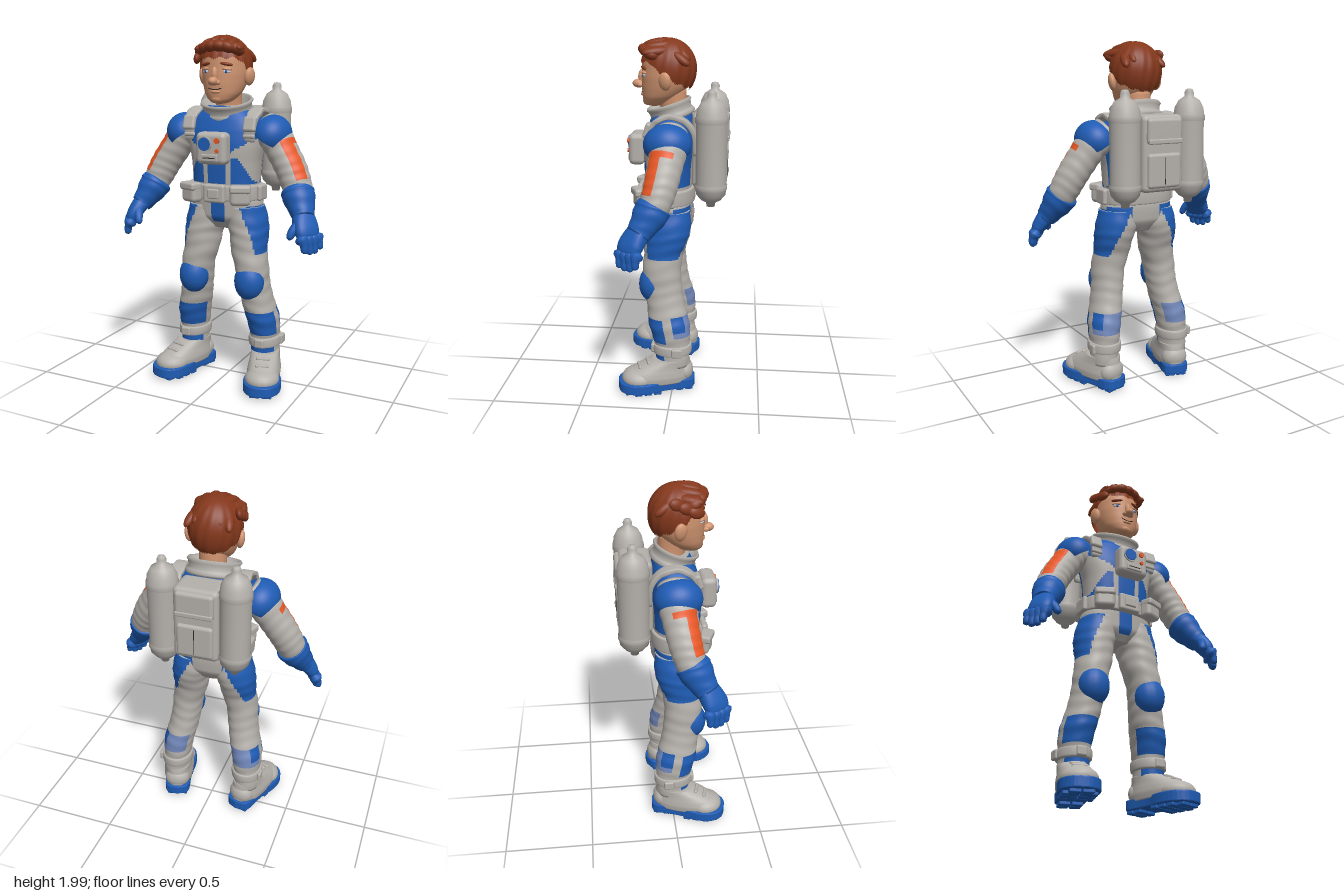
import * as THREE from 'three';
import { RoundedBoxGeometry } from 'three/addons/geometries/RoundedBoxGeometry.js';

const V = (a) => new THREE.Vector3(...a);
const mat = (name, color, side = THREE.FrontSide) => {
  const m = new THREE.MeshStandardMaterial({ color, side });
  m.name = name;
  return m;
};

// Smooth tube through sections [x, y, z, halfA, halfB]. Rings are level, or square to the path when side is given.
// pick(x, y, z, t, angle) chooses the material of each face.
function loft(name, mats, secs, { n = 32, rows = 24, p = 2, side, pick, wrinkle = 0, waves = 9 } = {}) {
  const path = new THREE.CatmullRomCurve3(secs.map((s) => new THREE.Vector3(s[0], s[1], s[2])));
  const size = new THREE.CatmullRomCurve3(secs.map((s) => new THREE.Vector3(s[3], s[4], 0)));
  const list = [].concat(mats), pos = [], faces = list.map(() => []);
  const pw = (v) => Math.sign(v) * Math.abs(v) ** (2 / p);
  for (let r = 0; r <= rows; r++) {
    const t = r / rows, c = path.getPoint(t), s = size.getPoint(t);
    const T = side ? path.getTangent(t) : V([0, 1, 0]);
    const A = side ? V(side).addScaledVector(T, -V(side).dot(T)).normalize() : V([1, 0, 0]);
    const B = A.clone().cross(T);
    for (let j = 0; j < n; j++) {
      const a = (j / n) * Math.PI * 2;
      const w = 1 + wrinkle * Math.sin(t * waves * 6.28 + 1.3 * Math.sin(a * 2));
      const v = c.clone().addScaledVector(A, s.x * w * pw(Math.cos(a))).addScaledVector(B, s.y * w * pw(Math.sin(a)));
      pos.push(v.x, v.y, v.z);
    }
  }
  for (let r = 0; r < rows; r++) for (let j = 0; j < n; j++) {
    const a = r * n + j, b = r * n + (j + 1) % n, c = a + n, d = b + n;
    const mid = [0, 1, 2].map((k) => (pos[a * 3 + k] + pos[d * 3 + k]) / 2);
    let ang = ((j + 0.5) / n) * Math.PI * 2;
    if (ang > Math.PI) ang -= Math.PI * 2;
    faces[pick ? pick(...mid, (r + 0.5) / rows, ang) : 0].push(a, c, b, b, c, d);
  }
  // end caps
  const end = pos.length / 3, p0 = path.getPoint(0), p1 = path.getPoint(1);
  pos.push(p0.x, p0.y, p0.z, p1.x, p1.y, p1.z);
  for (let j = 0; j < n; j++) {
    const k = (j + 1) % n;
    faces[0].push(end, j, k, end + 1, rows * n + k, rows * n + j);
  }
  const g = new THREE.BufferGeometry();
  g.setAttribute('position', new THREE.Float32BufferAttribute(pos, 3));
  g.setIndex(faces.flat());
  let start = 0;
  faces.forEach((f, i) => { g.addGroup(start, f.length, i); start += f.length; });
  g.computeVertexNormals();
  return named(name, new THREE.Mesh(g, list.length > 1 ? list : list[0]));
}
const named = (name, o) => { o.name = name; return o; };
function put(name, geo, m, at, rot = [0, 0, 0]) {
  const o = named(name, new THREE.Mesh(geo, m));
  o.position.set(...at);
  o.rotation.set(...rot);
  return o;
}
const blob = (name, m, at, r, rot) => put(name, new THREE.SphereGeometry(1, 20, 12).scale(...r), m, at, rot);
const box = (name, m, at, s, rot, r = 0.015) =>
  put(name, new RoundedBoxGeometry(...s, 2, Math.min(r, Math.min(...s) * 0.45)), m, at, rot);

// Copy of a group reflected in x, with face order put right
function mirrored(group, name) {
  const out = named(name, new THREE.Group());
  group.updateMatrixWorld(true);
  group.traverse((m) => {
    if (!m.isMesh) return;
    const g = m.geometry.clone().applyMatrix4(m.matrixWorld).scale(-1, 1, 1);
    const idx = g.index ? Array.from(g.index.array) : Array.from({ length: g.attributes.position.count }, (_, i) => i);
    for (let i = 0; i < idx.length; i += 3) [idx[i + 1], idx[i + 2]] = [idx[i + 2], idx[i + 1]];
    g.setIndex(idx);
    out.add(named(m.name, new THREE.Mesh(g, m.material)));
  });
  return out;
}

export function createModel() {
  const model = named('astronaut', new THREE.Group());
  const grey = mat('suitGrey', 0xb4b0ab), blue = mat('suitBlue', 0x1f5cb4, THREE.DoubleSide), orange = mat('stripeOrange', 0xee5a26);
  const skin = mat('skin', 0xd09470), hairMat = mat('hairBrown', 0x84381c, THREE.DoubleSide);
  const dark = mat('dark', 0x2e2a28), white = mat('eyeWhite', 0xd4d4d8), pale = mat('paleBlue', 0x7288ba);

  // torso with blue yoke, waist panels and hips
  model.add(loft('torso', [grey, blue], [
    [0, 0.92, 0.035, 0.09, 0.08], [0, 0.99, 0.035, 0.21, 0.125], [0, 1.06, 0.035, 0.215, 0.13], [0, 1.13, 0.04, 0.198, 0.13],
    [0, 1.2, 0.04, 0.198, 0.135], [0, 1.3, 0.04, 0.205, 0.14], [0, 1.4, 0.035, 0.225, 0.145], [0, 1.48, 0.03, 0.235, 0.135],
    [0, 1.54, 0.025, 0.2, 0.12], [0, 1.58, 0.02, 0.15, 0.105], [0, 1.61, 0.02, 0.11, 0.09],
  ], {
    n: 88, rows: 72, p: 2.4, pick: (x, y, z) => {
      const w = Math.abs(x);
      if (y < 1.1 && z > 0) return +((w < 0.038 && y > 0.96) || (w > 0.165 && y < 1.06));
      if (y < 1.08) return +(w > 0.085);
      if (z < 0) return +(y > 1.42 || (y > 1.19 && w > 0.1));
      if (y > 1.31 + w * 0.6) return 1;
      return +(y > 1.18 && y < 1.335 && (w < 0.052 || (w > 0.085 && w < 0.16 + (1.26 - y) * 0.5)));
    },
  }));

  // collar ring, tilted down at the front
  const collar = new THREE.LatheGeometry([[0.1, -0.035], [0.148, -0.038], [0.158, -0.026], [0.15, -0.01], [0.14, 0],
    [0.146, 0.03], [0.155, 0.04], [0.148, 0.052], [0.135, 0.048], [0.118, 0.01], [0.09, -0.02]].map((q) => new THREE.Vector2(...q)), 48);
  model.add(put('collar', collar.scale(1, 1, 0.84), grey, [0, 1.592, 0.03], [0.3, 0, 0]));

  // belt, buckle
  model.add(loft('belt', grey, [[0, 1.085, 0.04, 0.2, 0.135], [0, 1.09, 0.04, 0.215, 0.148], [0, 1.13, 0.04, 0.217, 0.15],
    [0, 1.17, 0.04, 0.215, 0.148], [0, 1.175, 0.04, 0.2, 0.135]], { n: 56, rows: 16, p: 2.4 }));
  model.add(box('buckle', grey, [0, 1.13, 0.2], [0.13, 0.105, 0.035]));
  model.add(box('buckleInset', grey, [0, 1.13, 0.217], [0.07, 0.055, 0.02], undefined, 0.008));

  // chest control box
  model.add(box('chestBox', grey, [0.003, 1.385, 0.218], [0.183, 0.178, 0.09], undefined, 0.03));
  const disc = (name, m, x, y, r, z = 0.265) => put(name, new THREE.CylinderGeometry(r, r, 0.016, 24), m, [x, y, z], [Math.PI / 2, 0, 0]);
  model.add(disc('dialRim', grey, -0.027, 1.41, 0.042, 0.263), disc('dial', blue, -0.027, 1.41, 0.036, 0.268));
  model.add(disc('upperButton', orange, 0.047, 1.43, 0.015), disc('lowerButton', orange, 0.047, 1.375, 0.011));
  model.add(box('chestSlotFrame', grey, [0, 1.335, 0.263], [0.1, 0.04, 0.014]), box('chestSlot', dark, [0, 1.335, 0.268], [0.075, 0.006, 0.008]));

  // backpack
  const pack = named('backpack', new THREE.Group());
  pack.add(box('packBody', grey, [0, 1.39, -0.185], [0.254, 0.42, 0.18], undefined, 0.03));
  pack.add(box('packFlap', grey, [0, 1.515, -0.272], [0.215, 0.14, 0.05], undefined, 0.02));
  pack.add(box('packHandle', grey, [0, 1.46, -0.294], [0.21, 0.028, 0.016]));
  pack.add(box('packPocket', grey, [0, 1.3, -0.272], [0.205, 0.19, 0.04], undefined, 0.02));
  pack.add(box('pocketSeam', dark, [0, 1.3, -0.291], [0.004, 0.15, 0.006]));
  model.add(pack);

  // everything on the left side, mirrored below
  const left = named('leftSide', new THREE.Group());

  // air tank
  const tank = [[0.001, 1.1], [0.022, 1.102], [0.026, 1.125], [0.055, 1.14], [0.08, 1.17], [0.085, 1.2], [0.089, 1.203], [0.089, 1.225],
    [0.084, 1.23], [0.084, 1.56], [0.089, 1.563], [0.089, 1.59], [0.085, 1.594], [0.08, 1.63], [0.06, 1.67], [0.026, 1.692],
    [0.026, 1.715], [0.018, 1.732], [0.001, 1.735]].map((q) => new THREE.Vector2(...q));
  left.add(put('airTank', new THREE.LatheGeometry(tank, 36), grey, [0.203, 0, -0.207]));
  left.add(box('tankBracket', grey, [0.13, 1.5, -0.2], [0.06, 0.04, 0.08]), box('lowerTankBracket', grey, [0.13, 1.28, -0.2], [0.06, 0.04, 0.08]));

  // shoulder strap, clip and belt pouches
  left.add(loft('shoulderStrap', grey, [[0.18, 1.42, 0.135, 0.03, 0.012], [0.186, 1.5, 0.138, 0.033, 0.014],
    [0.188, 1.555, 0.1, 0.035, 0.014], [0.188, 1.588, 0.03, 0.035, 0.014], [0.186, 1.565, -0.06, 0.035, 0.014],
    [0.18, 1.5, -0.11, 0.033, 0.014], [0.16, 1.38, -0.12, 0.03, 0.013]], { n: 24, rows: 36, p: 5, side: [1, 0, 0] }));
  left.add(box('strapClip', grey, [0.186, 1.515, 0.14], [0.075, 0.085, 0.035], [-0.3, 0, 0]));
  left.add(box('strapClipBar', grey, [0.182, 1.45, 0.145], [0.07, 0.025, 0.025]));
  left.add(box('beltPouch', grey, [0.15, 1.128, 0.185], [0.115, 0.115, 0.075], [0, 0.4, 0], 0.025));
  left.add(box('pouchFlap', grey, [0.154, 1.163, 0.194], [0.118, 0.045, 0.075], [0, 0.4, 0], 0.015));
  left.add(box('sidePouch', grey, [0.218, 1.13, 0.04], [0.03, 0.09, 0.1]));

  // arm with orange stripe
  left.add(loft('sleeve', [grey, orange], [[0.2, 1.5, 0.01, 0.09, 0.09], [0.285, 1.435, 0.015, 0.092, 0.1], [0.345, 1.35, 0.03, 0.088, 0.095],
    [0.395, 1.27, 0.045, 0.087, 0.092], [0.43, 1.2, 0.062, 0.084, 0.087], [0.465, 1.12, 0.085, 0.074, 0.074]], {
    n: 52, rows: 50, side: [1, 0.7, 0], wrinkle: 0.016, waves: 8,
    pick: (x, y, z, t, a) => +((t > 0.3 && t < 0.83 && a > -1.1 && a < -0.25) || (t > 0.3 && t < 0.36 && a > -1.1 && a < 0.45)),
  }));
  left.add(put('shoulderPad', new THREE.SphereGeometry(1, 32, 16, 0, Math.PI * 2, 0, Math.PI * 0.58).scale(0.108, 0.113, 0.13),
    blue, [0.27, 1.452, 0.024], [0, 0, -0.55]));

  // glove
  left.add(loft('gloveCuff', blue, [[0.441, 1.165, 0.074, 0.07, 0.07], [0.444, 1.158, 0.078, 0.088, 0.092], [0.452, 1.14, 0.086, 0.091, 0.095],
    [0.472, 1.1, 0.108, 0.082, 0.088], [0.495, 1.055, 0.135, 0.066, 0.072], [0.512, 1.025, 0.155, 0.058, 0.066]],
    { side: [1, 0.3, 0], wrinkle: 0.02, waves: 4 }));
  left.add(loft('palm', blue, [[0.495, 1.06, 0.135, 0.05, 0.05], [0.518, 1.015, 0.165, 0.068, 0.048], [0.54, 0.97, 0.19, 0.074, 0.042],
    [0.553, 0.94, 0.197, 0.066, 0.034], [0.558, 0.925, 0.2, 0.03, 0.015]], { n: 24, rows: 20, p: 2.5, side: [-0.5, 0, 0.85] }));
  for (let i = 0; i < 4; i++) {
    const k = (i - 1.5) * 0.035, x = 0.55 - 0.5 * k, z = 0.195 + 0.85 * k, len = [0.07, 0.088, 0.09, 0.08][i];
    left.add(loft('finger', blue, [[x - 0.01, 0.965, z, 0.012, 0.012], [x, 0.945, z, 0.022, 0.022], [x + 0.022, 0.945 - len * 0.5, z + 0.006, 0.022, 0.022],
      [x + 0.027, 0.945 - len, z + 0.006, 0.018, 0.018], [x + 0.026, 0.936 - len, z + 0.006, 0.004, 0.004]], { n: 14, rows: 12, side: [1, 0, 0] }));
  }
  left.add(loft('thumb', blue, [[0.515, 1.03, 0.17, 0.02, 0.02], [0.5, 1, 0.205, 0.03, 0.03], [0.478, 0.965, 0.238, 0.024, 0.024],
    [0.468, 0.935, 0.25, 0.019, 0.019], [0.466, 0.922, 0.252, 0.004, 0.004]], { n: 14, rows: 14, side: [1, 0, 0] }));

  // leg with hip, shin and calf panels
  left.add(loft('leg', [grey, blue, pale], [[0.235, 0.15, 0, 0.08, 0.095], [0.232, 0.25, 0.003, 0.08, 0.1], [0.23, 0.32, 0.008, 0.086, 0.108],
    [0.222, 0.4, 0.022, 0.092, 0.117], [0.205, 0.47, 0.035, 0.092, 0.112], [0.19, 0.55, 0.05, 0.09, 0.107], [0.18, 0.62, 0.06, 0.09, 0.108],
    [0.172, 0.7, 0.068, 0.094, 0.11], [0.15, 0.8, 0.06, 0.102, 0.112], [0.145, 0.88, 0.045, 0.108, 0.125],
    [0.132, 0.95, 0.035, 0.116, 0.13], [0.118, 1.05, 0.035, 0.105, 0.122]], {
    n: 60, rows: 88, p: 2.1, wrinkle: 0.013, waves: 12, pick: (x, y, z, t, a) => {
      if (y > 0.79) return +(a > -1.0 - (y - 0.8) * 3 && a < 1.08 + (y - 0.9) * 2.5);
      if (y > 0.3 && y < 0.445 && a > 0.25 && a < 2.9) return 1;
      if (y > 0.34 && y < 0.46 && a < -0.2 && a > -2.5) return a > -0.9 && y > 0.37 ? 1 : 2;
      return +(y < 0.225 && y > 0.185 && a > 0.4 && a < 2.7);
    },
  }));
  left.add(blob('kneePad', blue, [0.178, 0.622, 0.118], [0.088, 0.109, 0.082]));

  // ankle strap
  left.add(loft('ankleStrap', grey, [[0.233, 0.225, 0.003, 0.08, 0.1], [0.233, 0.23, 0.003, 0.093, 0.112], [0.232, 0.255, 0.003, 0.095, 0.114],
    [0.232, 0.28, 0.003, 0.093, 0.112], [0.232, 0.285, 0.003, 0.08, 0.1]], { rows: 12 }));
  left.add(box('ankleBuckle', grey, [0.325, 0.255, -0.03], [0.022, 0.055, 0.06]), box('ankleFrontBuckle', grey, [0.24, 0.255, 0.112], [0.06, 0.055, 0.025]));

  // boot, toes turned out
  const boot = named('boot', new THREE.Group());
  boot.position.set(0.235, 0, 0);
  boot.rotation.y = 0.29;
  boot.add(loft('bootUpper', grey, [[0, 0.06, 0.09, 0.092, 0.205], [0, 0.09, 0.09, 0.096, 0.207], [0, 0.12, 0.078, 0.093, 0.19], [0, 0.15, 0.055, 0.087, 0.16],
    [0, 0.178, 0.025, 0.084, 0.125], [0, 0.195, 0.008, 0.083, 0.104]], { n: 40, p: 2.3 }));
  const half = [[0.065, -0.1], [0.074, 0], [0.08, 0.07], [0.1, 0.16], [0.095, 0.245], [0.055, 0.3]];
  const outline = new THREE.Shape().moveTo(0, -0.125).splineThru([...half, [0, 0.312], ...half.map(([x, z]) => [-x, z]).reverse(), [0, -0.125]]
    .map((q) => new THREE.Vector2(...q)));
  const sole = new THREE.ExtrudeGeometry(outline, { depth: 0.046, bevelSize: 0.006, bevelThickness: 0.006, bevelSegments: 2, curveSegments: 3 });
  boot.add(put('sole', sole.rotateX(Math.PI / 2), blue, [0, 0.07, 0]));
  for (const z of [-0.085, -0.03, 0.105, 0.16, 0.215, 0.265]) {
    const w = z < 0.05 || z > 0.25 ? 0.06 : 0.085;
    for (const s of [-1, 1]) boot.add(box('treadLug', blue, [s * w * 0.55, 0.016, z], [w, 0.032, 0.044], undefined, 0.006));
  }
  [[0.13, 0.232], [0.155, 0.2], [0.178, 0.15]].forEach(([y, z]) =>
    boot.add(put('lace', new THREE.CapsuleGeometry(0.011, 0.06, 4, 10), grey, [0, y, z - 0.004], [0, 0, Math.PI / 2])));
  boot.add(blob('toeCap', grey, [0, 0.085, 0.2], [0.098, 0.06, 0.1]), blob('heelCounter', grey, [0, 0.11, -0.06], [0.078, 0.07, 0.06]));
  left.add(boot);

  // left half of the face
  left.add(blob('ear', skin, [0.143, 1.77, 0.05], [0.022, 0.05, 0.036], [0, -0.35, -0.15]));
  left.add(blob('eye', white, [0.062, 1.797, 0.17], [0.023, 0.011, 0.012], [0, 0.4, 0]));
  left.add(blob('iris', blue, [0.062, 1.797, 0.178], [0.008, 0.01, 0.006], [0, 0.35, 0]));
  left.add(blob('upperLid', skin, [0.062, 1.81, 0.17], [0.028, 0.01, 0.015], [0, 0.4, -0.1]));
  left.add(blob('eyebrow', hairMat, [0.062, 1.836, 0.174], [0.036, 0.009, 0.012], [0, 0.4, -0.15]));
  left.add(blob('nostril', skin, [0.02, 1.738, 0.2], [0.015, 0.014, 0.018]));
  model.add(left, mirrored(left, 'rightSide'));

  // head and neck
  model.add(loft('neck', skin, [[0, 1.54, 0.01, 0.08, 0.08], [0, 1.62, 0.015, 0.074, 0.076], [0, 1.72, 0.03, 0.08, 0.085]], { rows: 10 }));
  model.add(loft('head', skin, [[0, 1.622, 0.125, 0.02, 0.02], [0, 1.628, 0.122, 0.045, 0.05], [0, 1.645, 0.108, 0.073, 0.076], [0, 1.68, 0.085, 0.102, 0.105],
    [0, 1.73, 0.065, 0.12, 0.128], [0, 1.79, 0.055, 0.13, 0.138], [0, 1.85, 0.05, 0.131, 0.14], [0, 1.9, 0.05, 0.122, 0.132],
    [0, 1.95, 0.05, 0.085, 0.095], [0, 1.97, 0.05, 0.02, 0.02]], { n: 44, rows: 40 }));
  model.add(blob('noseTip', skin, [0, 1.745, 0.212], [0.027, 0.024, 0.034]), blob('noseBridge', skin, [0, 1.78, 0.194], [0.017, 0.042, 0.02]));
  model.add(blob('chin', skin, [0, 1.65, 0.158], [0.04, 0.026, 0.03]), blob('lowerLip', skin, [0, 1.688, 0.185], [0.03, 0.01, 0.014]));
  model.add(put('mouth', new THREE.TorusGeometry(0.09, 0.0025, 6, 20, 0.9), dark, [0, 1.79, 0.191], [0, 0, -Math.PI / 2 - 0.45]));

  // hair cap: a ball whose lower edge drops from the forehead to the nape, with combed ridges
  const cap = new THREE.SphereGeometry(1, 90, 28), cp = cap.attributes.position, uv = cap.attributes.uv;
  for (let i = 0; i < cp.count; i++) {
    const u = uv.getX(i) * Math.PI * 2, f = Math.sin(u);
    const edge = 1.36 + 0.52 * (1 - THREE.MathUtils.smoothstep(f, -0.05, 0.7)) + 0.48 * Math.max(0, -f) + 0.04 * Math.sin(u * 13);
    const a = (1 - uv.getY(i)) * edge, w = 1 + 0.018 * Math.sin(u * 15 + a * 3) * Math.sin(Math.min(a, 1.57));
    const r = Math.sin(a < 1.57 ? a : 1.57 + (a - 1.57) * 0.88) * w;
    cp.setXYZ(i, -Math.cos(u) * r * 0.146 - 0.004, 1.83 + Math.cos(a) * 0.163, 0.045 + f * r * 0.155);
  }
  cap.computeVertexNormals();
  model.add(put('hairCap', cap, hairMat, [0, 0, 0]));

  // quiff swept to one side, and locks fanning back over the crown
  for (let i = 0; i < 6; i++) {
    const x = -0.105 + i * 0.04;
    model.add(blob('frontLock', hairMat, [x, 1.93 - x * x * 1.6, 0.162 - x * x * 4], [0.05, 0.034, 0.05], [-0.2, x * 4, 0.45 - i * 0.16]));
  }
  for (let i = 0; i < 6; i++) {
    const x = -0.1 + i * 0.04;
    model.add(blob('crownLock', hairMat, [x, 1.968 - x * x * 4.2, 0.09 + 0.008 * Math.sin(i * 3)], [0.032, 0.026, 0.085], [0.1, x * 4, -x * 4]));
    model.add(blob('backLock', hairMat, [x, 1.93 - x * x * 4, -0.025], [0.028, 0.026, 0.07], [-0.6, -x * 3, -x * 4]));
  }
  for (let i = 0; i < 3; i++) model.add(blob('sideLock', hairMat, [-0.138, 1.87 + i * 0.022, 0.13 - i * 0.05], [0.02, 0.032, 0.045], [0.3, 0.3, -0.25]));
  return model;
}
